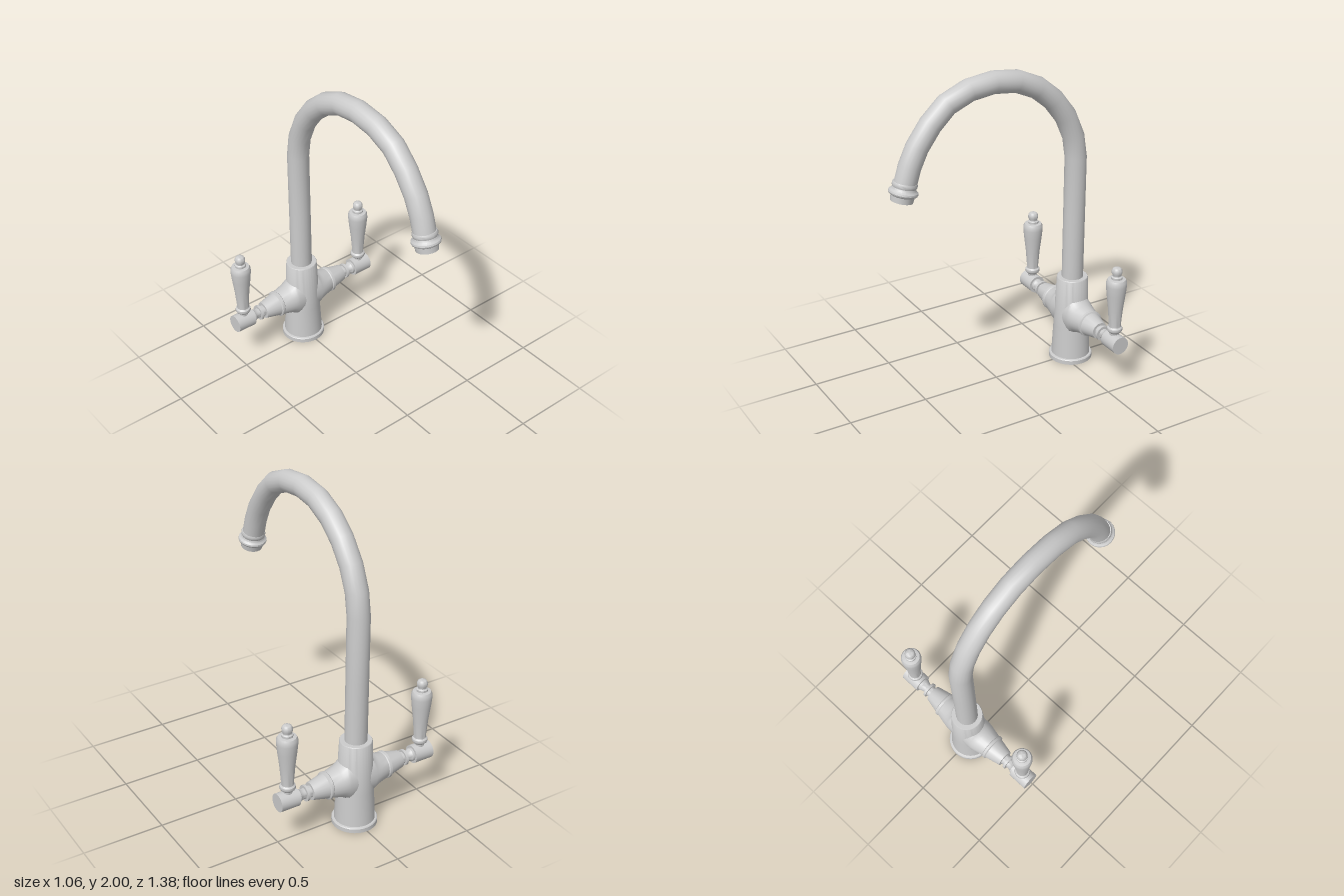
import * as THREE from 'three';
import { toCreasedNormals } from 'three/addons/utils/BufferGeometryUtils.js';

const AXIS_Z = -0.555; // column position
const ARM_Y = 0.322; // height of the valve arms
const material = new THREE.MeshStandardMaterial({ color: 0xcccccc, side: THREE.DoubleSide });

function mesh(name, geometry) {
  const m = new THREE.Mesh(toCreasedNormals(geometry, 0.6), material);
  m.name = name;
  return m;
}

// turned part from [radius, height] pairs, bottom to top
const turned = (profile, sides = 24) =>
  new THREE.LatheGeometry(profile.map(([r, h]) => new THREE.Vector2(r, h)), sides);

// curve sampled exactly at its control points, so the bend keeps its facets
class FacetedPath extends THREE.CatmullRomCurve3 {
  getPointAt(t, target) { return this.getPoint(t, target); }
  getTangentAt(t, target) { return this.getTangent(t, target); }
}

function createSide(side) {
  const group = new THREE.Group();
  group.name = side > 0 ? 'leftValve' : 'rightValve';
  const turn = -side * Math.PI / 2;

  // tapered arm with a raised ring, fillet at the column
  const armGeometry = turned([
    [0.1, 0], [0.1, 0.085], [0.099, 0.1], [0.097, 0.115], [0.093, 0.135], [0.079, 0.192],
    [0.084, 0.197], [0.084, 0.212], [0.075, 0.217], [0.053, 0.314], [0, 0.314],
  ]);
  const p = armGeometry.attributes.position;
  for (let i = 0; i < p.count; i++) {
    // the fillet spreads mostly along the column
    const flare = Math.max(0, 0.135 - p.getY(i)) / 0.05;
    p.setX(i, p.getX(i) * (1 + 0.28 * Math.min(flare, 1) ** 2));
  }
  const arm = mesh('arm', armGeometry.rotateZ(turn));

  // spindle with a collar
  const spindle = mesh('spindle', turned([
    [0.036, 0.305], [0.036, 0.338], [0.049, 0.338], [0.049, 0.353], [0.032, 0.353],
    [0.031, 0.368], [0.036, 0.385], [0.041, 0.392], [0.041, 0.41],
  ]).rotateZ(turn));

  // hub holding the handle
  const hub = mesh('hub', new THREE.CylinderGeometry(0.056, 0.056, 0.124, 24)
    .rotateZ(turn).translate(side * 0.468, 0, 0));

  // upright lever handle with a finial
  const handle = mesh('handle', turned([
    [0.028, 0.04], [0.028, 0.063], [0.044, 0.078], [0.048, 0.088], [0.046, 0.1], [0.037, 0.108],
    [0.037, 0.125], [0.046, 0.235], [0.057, 0.325], [0.063, 0.385], [0.062, 0.41], [0.054, 0.425],
    [0.034, 0.428], [0.034, 0.441], [0.026, 0.447], [0.026, 0.453], [0.032, 0.465],
    [0.032, 0.483], [0.025, 0.496], [0.014, 0.502], [0, 0.503],
  ]));
  handle.position.x = side * 0.463;

  group.add(arm, spindle, hub, handle);
  group.position.set(0, ARM_Y, AXIS_Z);
  return group;
}

export function createModel() {
  const model = new THREE.Group();
  model.name = 'mixerTap';

  // tapered column on a foot ring, open underneath
  const column = mesh('column', turned([
    [0.121, 0], [0.137, 0], [0.137, 0.026], [0.133, 0.031], [0.122, 0.033],
    [0.112, 0.24], [0.097, 0.565], [0.094, 0.569], [0.06, 0.569],
  ], 32));
  column.position.z = AXIS_Z;
  model.add(column);

  // swan-neck pipe, [z, y] along its centre line
  const path = new FacetedPath([
    [AXIS_Z, 0.55], [AXIS_Z, 0.96], [AXIS_Z, 1.37], [-0.533, 1.507], [-0.473, 1.645],
    [-0.382, 1.763], [-0.272, 1.853], [-0.133, 1.915], [0.02, 1.934], [0.178, 1.915],
    [0.32, 1.856], [0.425, 1.757], [0.511, 1.64], [0.56, 1.537], [0.589, 1.443],
  ].map(([z, y]) => new THREE.Vector3(0, y, z)));
  model.add(mesh('spoutPipe', new THREE.TubeGeometry(path, path.points.length - 1, 0.067, 20)));

  // hollow outlet nozzle with a bead and a collar
  const nozzle = mesh('nozzle', turned([
    [0.06, -0.008], [0.07, -0.008], [0.074, 0.002], [0.073, 0.014], [0.069, 0.022], [0.073, 0.034],
    [0.085, 0.044], [0.087, 0.054], [0.083, 0.063], [0.07, 0.071], [0.066, 0.106],
    [0.057, 0.106], [0.057, 0.03], [0, 0.03],
  ], 20).rotateX(Math.PI - 0.24));
  nozzle.position.set(0, 1.443, 0.592);
  model.add(nozzle);

  for (const side of [1, -1]) model.add(createSide(side));
  return model;
}
